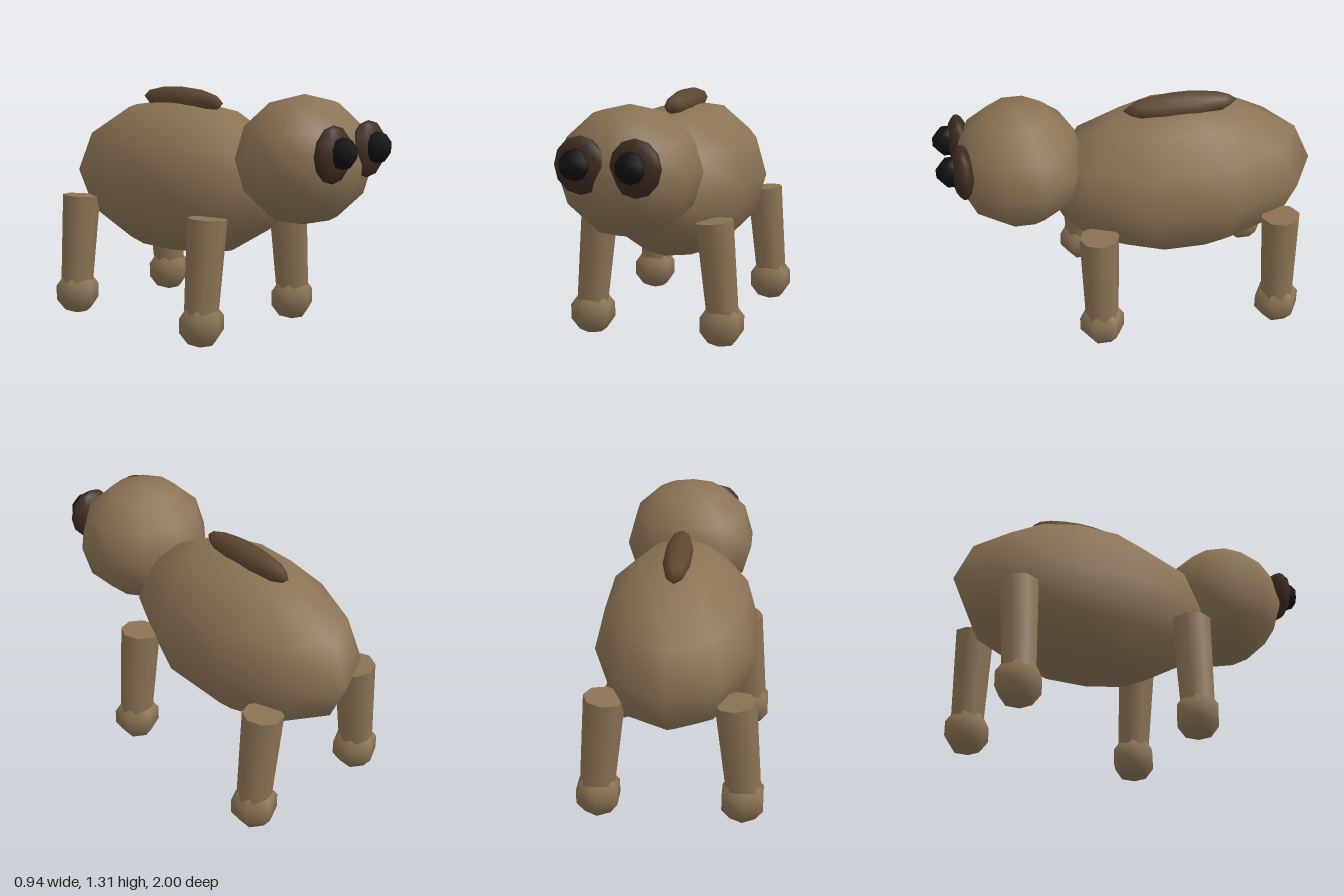
import * as THREE from 'three';

const material = (color) => new THREE.MeshStandardMaterial({ color });

export function createModel() {
  const group = new THREE.Group();
  const fur = material(0x8b7355);
  const finBrown = material(0x5c4630);
  const eyeBrown = material(0x3d2b1f);
  const black = material(0x111111);

  // Low-sided ellipsoid with a vertex facing front and back
  function ellipsoid(name, mat, radii, position, sides = 10, rings = 6) {
    const geometry = new THREE.SphereGeometry(1, sides, rings);
    geometry.rotateY(Math.PI / 2);
    geometry.scale(...radii);
    const mesh = new THREE.Mesh(geometry, mat);
    mesh.name = name;
    mesh.position.set(...position);
    group.add(mesh);
  }

  // Tapered cylinder running between two points
  function limb(name, mat, top, bottom, topRadius, bottomRadius) {
    const a = new THREE.Vector3(...top);
    const b = new THREE.Vector3(...bottom);
    const axis = a.clone().sub(b);
    const geometry = new THREE.CylinderGeometry(topRadius, bottomRadius, axis.length(), 8);
    const mesh = new THREE.Mesh(geometry, mat);
    mesh.name = name;
    mesh.position.copy(a).add(b).multiplyScalar(0.5);
    mesh.quaternion.setFromUnitVectors(new THREE.Vector3(0, 1, 0), axis.normalize());
    group.add(mesh);
  }

  // Trunk, head and the ridge along the back
  ellipsoid('body', fur, [0.42, 0.425, 0.725], [0, 0.8, -0.275]);
  ellipsoid('head', fur, [0.363, 0.332, 0.34], [0, 0.978, 0.575]);
  ellipsoid('backRidge', finBrown, [0.073, 0.07, 0.3], [0, 1.22, -0.275]);

  for (const [side, s] of [['left', 1], ['right', -1]]) {
    // Eye patch and pupil
    ellipsoid(side + 'EyePatch', eyeBrown, [0.132, 0.143, 0.06], [s * 0.14, 1.048, 0.867]);
    ellipsoid(side + 'Pupil', black, [0.079, 0.079, 0.079], [s * 0.14, 1.06, 0.925], 6, 5);

    // Legs lean inward at the top and end in round feet
    for (const [end, z] of [['Front', 0.21], ['Back', -0.76]]) {
      limb(side + end + 'Leg', fur, [s * 0.32, 0.673, z], [s * 0.37, 0.15, z], 0.104, 0.088);
      ellipsoid(side + end + 'Foot', fur, [0.126, 0.126, 0.126], [s * 0.365, 0.126, z], 6, 5);
    }
  }
  return group;
}
